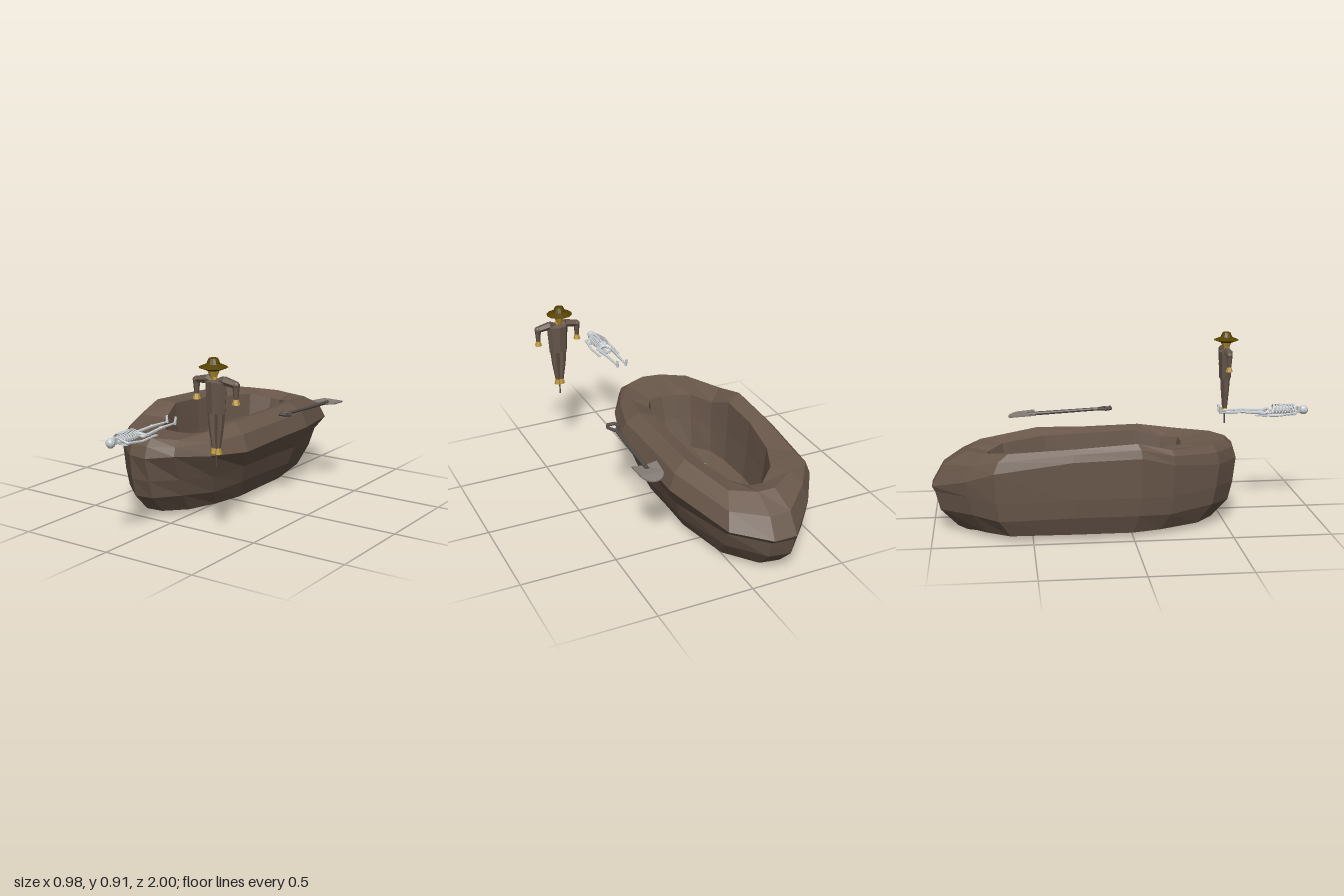
import * as THREE from 'three';

const mat = (name, color, side = THREE.FrontSide) =>
  Object.assign(new THREE.MeshStandardMaterial({ color, flatShading: true, side }), { name });

const earth = mat('earth', 0x69574a, THREE.DoubleSide);
const cloth = mat('cloth', 0x66564a);
const straw = mat('straw', 0xbe9a30);
const hatBrown = mat('hat brown', 0x554200);
const bone = mat('bone', 0xc6cbce);
const darkWood = mat('dark wood', 0x534c46);
const steel = mat('steel', 0x857c76);

const V = (a) => new THREE.Vector3(...a);

function add(group, name, geo, material, pos = [0, 0, 0]) {
  const m = new THREE.Mesh(geo, material);
  m.name = name;
  m.position.set(...pos);
  group.add(m);
  return m;
}

// Tapered rod from point a to point b
function rod(group, name, a, b, r1, r2, material, sides = 6) {
  const d = V(b).sub(V(a));
  const m = add(group, name, new THREE.CylinderGeometry(r2, r1, d.length(), sides), material);
  m.position.copy(V(a)).addScaledVector(d, 0.5);
  m.quaternion.setFromUnitVectors(new THREE.Vector3(0, 1, 0), d.normalize());
  return m;
}

// Faceted earth mound with a pit: loops run from pit floor over the crest to the underside
function mound() {
  // outer x, z, y | pit lip x, z | crest position between them, crest height
  const spokes = [
    [0.2, -0.2, 0.32, 0.03, -0.2, 0.42, 0.452], [0.21, 0.12, 0.32, 0.03, 0.06, 0.42, 0.458],
    [0.14, 0.35, 0.34, 0, 0.2, 0.5, 0.44], [0.04, 0.52, 0.36, -0.04, 0.28, 0.75, 0.43],
    [-0.1, 0.575, 0.34, -0.12, 0.285, 0.8, 0.435], [-0.21, 0.56, 0.34, -0.2, 0.27, 0.8, 0.435],
    [-0.34, 0.45, 0.34, -0.26, 0.22, 0.85, 0.44], [-0.445, 0.21, 0.37, -0.33, 0.1, 0.85, 0.445],
    [-0.49, 0.04, 0.42, -0.365, -0.03, 0.7, 0.488], [-0.49, -0.3, 0.41, -0.375, -0.25, 0.7, 0.47],
    [-0.48, -0.69, 0.36, -0.35, -0.48, 0.65, 0.45], [-0.39, -0.83, 0.3, -0.28, -0.64, 0.5, 0.43],
    [-0.23, -1, 0.24, -0.19, -0.72, 0.35, 0.415], [-0.11, -1, 0.24, -0.12, -0.71, 0.35, 0.41],
    [0.08, -0.89, 0.28, -0.04, -0.64, 0.45, 0.42], [0.2, -0.49, 0.32, 0.02, -0.42, 0.45, 0.455],
  ];
  const n = spokes.length, cx = -0.15, cz = -0.21;
  const columns = spokes.map(([ox, oz, oy, ix, iz, t, cy], j) => {
    const wob = 0.008 * Math.sin(j * 2.4);
    const scaled = (x, z, k, y) => [cx + (x - cx) * k, y, cz + (z - cz) * k];
    const between = (k, y) => [ix + (ox - ix) * k, y, iz + (oz - iz) * k];
    const right = Math.max(0, (ox - cx) / 0.36);
    const low = 0.95 - 0.19 * right, foot = 0.84 - 0.2 * right;
    return [
      [cx, 0.1, cz],
      scaled(ix, iz, 0.55, 0.105 + wob),
      scaled(ix, iz, 0.88, 0.13 - wob),
      scaled(ix, iz, 0.95, 0.28 + wob),
      [ix, cy - 0.02 + wob, iz],
      between(t, cy),
      between(t + (1 - t) * 0.68, cy + (oy - cy) * 0.38),
      [ox, oy, oz],
      scaled(ox, oz, 0.98 - 0.14 * right, 0.215 + wob),
      scaled(ox, oz, low, 0.12 + wob),
      scaled(ox, oz, foot, 0.026),
      scaled(ox, oz, foot * 0.93, oz < -0.9 ? 0.002 : 0.022),
      scaled(ox, oz, foot * 0.87, 0.045),
      [cx, 0.06, cz],
    ];
  });
  const pos = [];
  for (let j = 0; j < n; j++) {
    const a = columns[j], b = columns[(j + 1) % n];
    for (let i = 0; i + 1 < a.length; i++) {
      if (i > 0) pos.push(...a[i], ...b[i], ...a[i + 1]);
      if (i + 2 < a.length) pos.push(...b[i], ...b[i + 1], ...a[i + 1]);
    }
  }
  const g = new THREE.BufferGeometry();
  g.setAttribute('position', new THREE.Float32BufferAttribute(pos, 3));
  g.computeVertexNormals();
  return g;
}

// Skeleton lying on its back, head towards +z, feet at z = 0
function skeleton(name) {
  const g = new THREE.Group();
  g.name = name;
  add(g, 'skull', new THREE.SphereGeometry(0.023, 10, 8), bone, [0, 0.005, 0.464]).scale.set(0.95, 1.1, 1.1);
  add(g, 'jaw', new THREE.BoxGeometry(0.024, 0.022, 0.018), bone, [0, 0.013, 0.438]);
  rod(g, 'spine', [0, -0.008, 0.23], [0, -0.004, 0.45], 0.007, 0.006, bone);
  rod(g, 'breastbone', [0, 0.036, 0.33], [0, 0.034, 0.41], 0.005, 0.008, bone);
  for (let i = 0; i < 8; i++) {
    const w = 0.043 - 0.0009 * (i - 3) ** 2;
    const rib = add(g, 'rib', new THREE.TorusGeometry(1, 0.1, 5, 14), bone, [0, 0.013, 0.3 + i * 0.0155]);
    rib.scale.set(w, 0.024, 0.045);
  }
  const pelvis = add(g, 'pelvis', new THREE.TorusGeometry(0.03, 0.01, 5, 10), bone, [0, 0, 0.25]);
  pelvis.rotation.x = Math.PI / 2 - 0.4;
  pelvis.scale.set(1.2, 0.85, 1);
  for (const s of [-1, 1]) {
    const wing = add(g, 'hipWing', new THREE.SphereGeometry(0.02, 7, 5), bone, [s * 0.03, 0, 0.268]);
    wing.scale.set(1, 0.4, 0.75);
    const blade = add(g, 'shoulderBlade', new THREE.BoxGeometry(0.028, 0.005, 0.036), bone, [s * 0.032, -0.012, 0.392]);
    blade.rotation.y = s * 0.3;
    rod(g, 'collarbone', [0, 0.02, 0.415], [s * 0.056, 0, 0.41], 0.005, 0.006, bone);
    add(g, 'shoulder', new THREE.IcosahedronGeometry(0.009), bone, [s * 0.055, 0, 0.408]);
    rod(g, 'upperArm', [s * 0.056, 0, 0.41], [s * 0.06, -0.012, 0.305], 0.007, 0.006, bone);
    rod(g, 'forearm', [s * 0.06, -0.012, 0.305], [s * 0.057, -0.008, 0.225], 0.007, 0.005, bone);
    add(g, 'hand', new THREE.BoxGeometry(0.014, 0.006, 0.034), bone, [s * 0.056, -0.008, 0.208]);
    rod(g, 'thigh', [s * 0.036, 0, 0.24], [s * 0.028, 0.008, 0.125], 0.009, 0.007, bone);
    add(g, 'knee', new THREE.IcosahedronGeometry(0.01), bone, [s * 0.028, 0.008, 0.125]);
    rod(g, 'shin', [s * 0.028, 0.008, 0.125], [s * 0.024, 0.006, 0.012], 0.008, 0.005, bone);
    rod(g, 'foot', [s * 0.024, 0, 0.008], [s * 0.028, 0.038, 0.004], 0.008, 0.006, bone);
  }
  return g;
}

function scarecrow() {
  const g = new THREE.Group();
  g.name = 'scarecrow';
  const profile = [[0, 0.85], [0.03, 0.851], [0.07, 0.866], [0.033, 0.882], [0.022, 0.908], [0, 0.911]];
  const hat = new THREE.LatheGeometry(profile.map((p) => new THREE.Vector2(...p)), 12);
  add(g, 'hat', hat, hatBrown, [-0.015, 0, 0]);
  add(g, 'head', new THREE.CylinderGeometry(0.031, 0.012, 0.045, 8), straw, [-0.014, 0.831, 0]);
  add(g, 'neck', new THREE.CylinderGeometry(0.012, 0.014, 0.024, 6), straw, [-0.002, 0.81, 0.006]);
  // Jacket with an open V at the collar
  const body = add(g, 'jacket', new THREE.CylinderGeometry(0.06, 0.05, 0.15, 8), cloth, [0, 0.725, 0]);
  body.scale.z = 0.66;
  const yoke = add(g, 'shoulders', new THREE.CylinderGeometry(0.025, 0.06, 0.01, 8), cloth, [0, 0.805, 0]);
  yoke.scale.z = 0.66;
  for (const s of [-1, 1]) {
    rod(g, 'collar', [s * 0.006, 0.798, 0.008], [s * 0.045, 0.81, 0], 0.014, 0.022, cloth);
    rod(g, 'upperSleeve', [s * 0.045, 0.808, 0], [s * 0.118, 0.795, 0], 0.022, 0.017, cloth);
    add(g, 'elbow', new THREE.IcosahedronGeometry(0.018, 1), cloth, [s * 0.113, 0.795, 0]);
    rod(g, 'lowerSleeve', [s * 0.112, 0.798, 0], [s * 0.112, 0.725, 0], 0.018, 0.011, cloth);
    add(g, 'hand', new THREE.CylinderGeometry(0.012, 0.02, 0.026, 6), straw, [s * 0.112, 0.716, 0]);
    rod(g, 'thigh', [s * 0.023, 0.66, 0], [s * 0.02, 0.575, 0], 0.024, 0.019, cloth);
    rod(g, 'trouserLeg', [s * 0.02, 0.575, 0], [s * 0.011, 0.475, 0], 0.019, 0.012, cloth);
    add(g, 'strawFoot', new THREE.CylinderGeometry(0.012, 0.018, 0.03, 6), straw, [s * 0.012, 0.466, 0]);
  }
  rod(g, 'stake', [0, 0.39, 0], [0, 0.5, 0], 0.004, 0.004, darkWood);
  g.position.set(0.36, 0, 0.61);
  return g;
}

// Shovel lying along z, grip at the front end
function shovel() {
  const g = new THREE.Group();
  g.name = 'shovel';
  const s = new THREE.Shape();
  s.moveTo(-0.067, 0);
  s.lineTo(-0.06, 0.09);
  s.quadraticCurveTo(-0.05, 0.145, 0, 0.146);
  s.quadraticCurveTo(0.05, 0.145, 0.06, 0.09);
  s.lineTo(0.067, 0);
  s.lineTo(0, 0);
  const geo = new THREE.ExtrudeGeometry(s, { depth: 0.007, bevelEnabled: false, curveSegments: 5 });
  // Dish the blade: sides rise away from the middle
  const p = geo.attributes.position;
  for (let i = 0; i < p.count; i++) p.setZ(i, p.getZ(i) + 2.5 * p.getX(i) ** 2);
  geo.computeVertexNormals();
  const blade = add(g, 'blade', geo, steel, [0, -0.01, -0.17]);
  blade.rotation.x = -Math.PI / 2;
  rod(g, 'handle', [0, 0, -0.21], [0, 0, 0.18], 0.011, 0.009, darkWood, 8);
  // Forked grip closed by a crossbar
  for (const k of [-1, 1]) {
    rod(g, 'gripFork', [0, 0, 0.175], [k * 0.03, 0, 0.222], 0.009, 0.008, darkWood);
    rod(g, 'gripCorner', [k * 0.03, 0, 0.218], [k * 0.018, 0, 0.246], 0.008, 0.008, darkWood);
  }
  rod(g, 'gripBar', [-0.022, 0, 0.246], [0.022, 0, 0.246], 0.009, 0.009, darkWood);
  g.position.set(0.322, 0.488, -0.285);
  g.rotation.x = -0.05;
  return g;
}

export function createModel() {
  const model = new THREE.Group();
  model.name = 'openGraveScene';
  add(model, 'earthMound', mound(), earth);
  const upper = skeleton('upperSkeleton');
  upper.position.set(0.022, 0.527, 0.51);
  const buried = skeleton('pitSkeleton');
  buried.position.set(-0.152, 0.145, -0.475);
  model.add(upper, buried, scarecrow(), shovel());
  return model;
}
